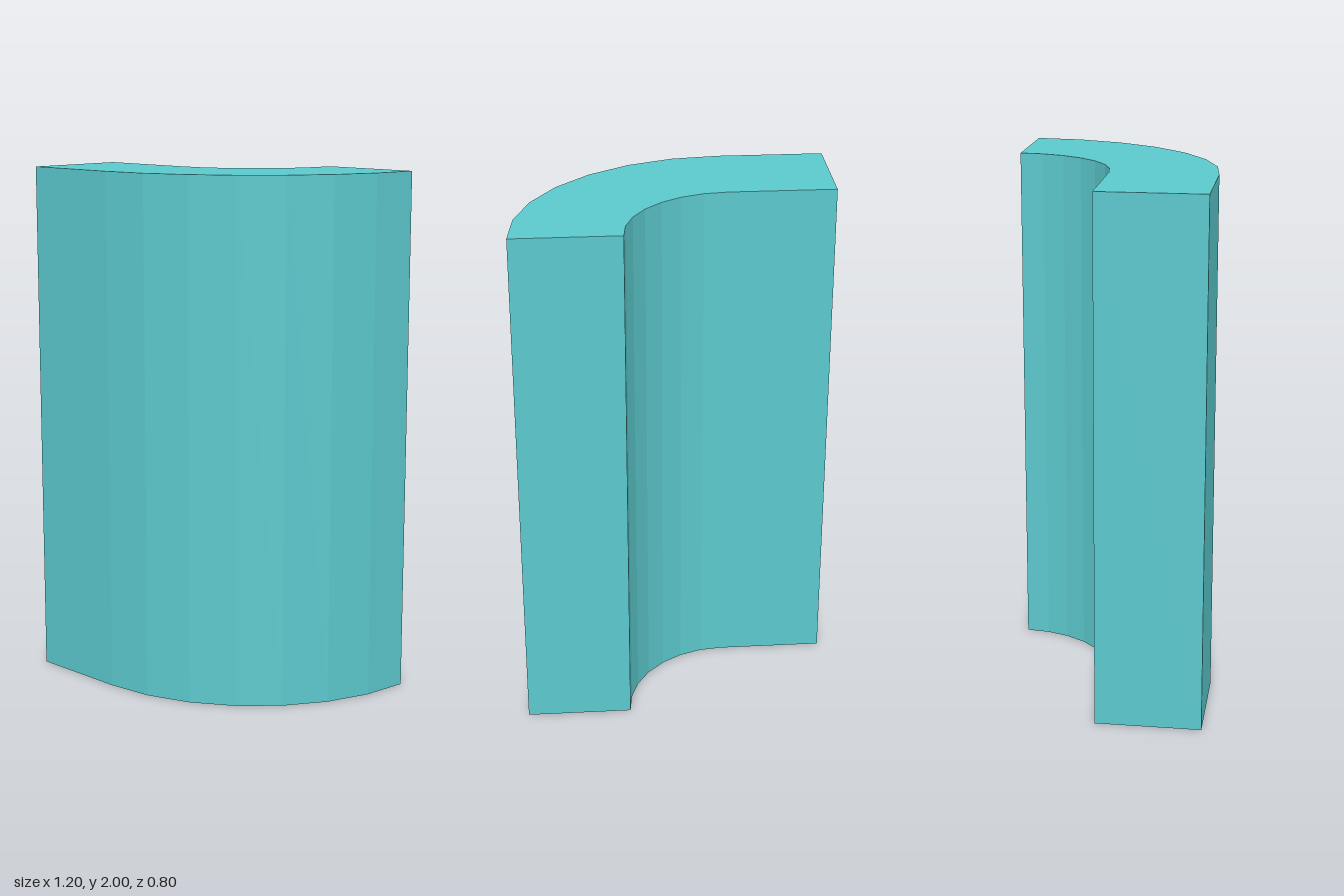
import * as THREE from 'three';

const HEIGHT = 2;
const SEGMENTS = 7;

// Quarter arc in plan, from the straight run (t = 0) to the turned end (t = 1).
function quarterArc(radius) {
  return Array.from({ length: SEGMENTS + 1 }, (_, i) => {
    const a = (i / SEGMENTS - 1) * Math.PI / 2;
    return new THREE.Vector2(-0.2 + radius * Math.cos(a), 0.4 + radius * Math.sin(a));
  });
}

export function createModel() {
  const model = new THREE.Group();
  model.name = 'curvedWall';

  // Plan outline: short straight run, outer bend, inner bend back.
  const outline = new THREE.Shape([
    new THREE.Vector2(-0.6, -0.4),
    ...quarterArc(0.8),
    ...quarterArc(0.4).reverse(),
    new THREE.Vector2(-0.6, 0),
  ]);

  // Extrude upwards; plan y becomes -z.
  const geometry = new THREE.ExtrudeGeometry(outline, { depth: HEIGHT, bevelEnabled: false });
  geometry.rotateX(-Math.PI / 2);

  const material = new THREE.MeshStandardMaterial({ color: 0x5bc8cc, flatShading: true });
  const wall = new THREE.Mesh(geometry, material);
  wall.name = 'cornerWall';
  model.add(wall);
  return model;
}
